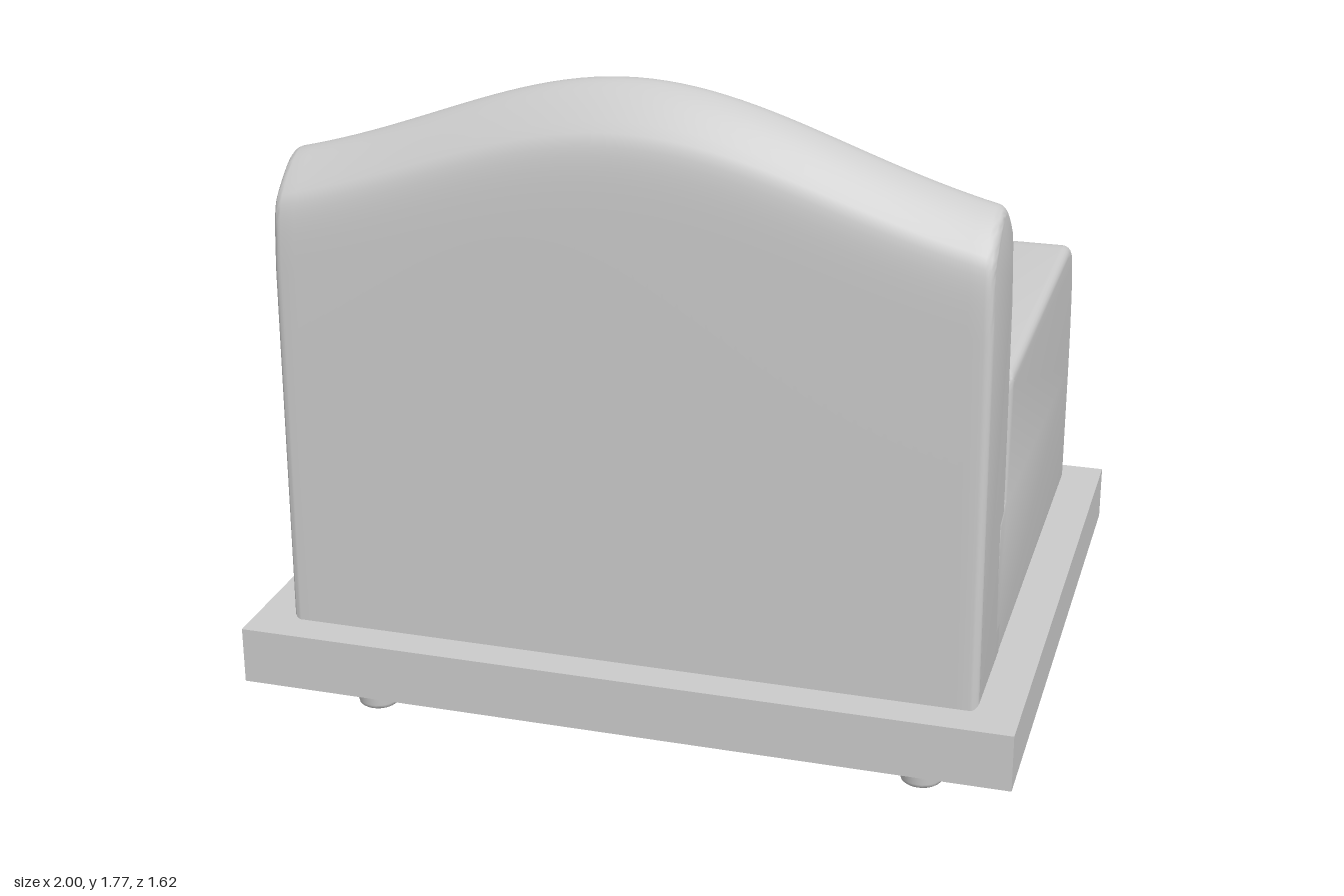
import * as THREE from 'three';
import { toCreasedNormals } from 'three/addons/utils/BufferGeometryUtils.js';

const material = new THREE.MeshStandardMaterial({ color: 0xcccccc });

function addMesh(group, name, geometry, x = 0, y = 0, z = 0) {
  const mesh = new THREE.Mesh(geometry, material);
  mesh.name = name;
  mesh.position.set(x, y, z);
  group.add(mesh);
  return mesh;
}

// Side profile (u = -z, v = y) swept along x to a given width, with soft ends.
function sweep(shape, width, bevel, steps = 1) {
  return new THREE.ExtrudeGeometry(shape, {
    depth: width - 2 * bevel, steps, curveSegments: 8,
    bevelEnabled: true, bevelSize: bevel, bevelThickness: bevel,
    bevelOffset: -bevel, bevelSegments: 5,
  }).translate(0, 0, bevel - width / 2).rotateY(Math.PI / 2);
}

const soften = (geometry) => toCreasedNormals(geometry, 0.65);

// Armrest: rounded front, and a lower part that runs into the backrest
function armShape() {
  const s = new THREE.Shape();
  s.moveTo(-0.5, 0.3);
  s.lineTo(0.715, 0.3);
  s.lineTo(0.718, 0.66);
  s.bezierCurveTo(0.712, 0.84, 0.695, 0.93, 0.672, 0.99);
  s.bezierCurveTo(0.65, 1.045, 0.61, 1.06, 0.55, 1.06);
  s.lineTo(-0.37, 1.06);
  s.quadraticCurveTo(-0.41, 1.06, -0.41, 1.01);
  s.lineTo(-0.415, 0.73);
  s.lineTo(-0.5, 0.7);
  return s;
}

// Seat base under the cushion
function baseShape() {
  const s = new THREE.Shape();
  s.moveTo(-0.5, 0.3);
  s.lineTo(0.713, 0.3);
  s.lineTo(0.713, 0.57);
  s.quadraticCurveTo(0.713, 0.615, 0.66, 0.615);
  s.lineTo(-0.5, 0.615);
  return s;
}

// Cushion: full round nose, small round at the rear
function cushionShape() {
  const s = new THREE.Shape();
  s.moveTo(-0.35, 0.6);
  s.lineTo(0.62, 0.6);
  s.bezierCurveTo(0.695, 0.6, 0.722, 0.65, 0.722, 0.71);
  s.bezierCurveTo(0.722, 0.78, 0.685, 0.825, 0.61, 0.825);
  s.lineTo(-0.35, 0.825);
  s.quadraticCurveTo(-0.4, 0.825, -0.4, 0.77);
  s.lineTo(-0.4, 0.655);
  s.quadraticCurveTo(-0.4, 0.6, -0.35, 0.6);
  return s;
}

// Backrest profile: straight sides, soft shoulders, ridged crown
function backShape() {
  const s = new THREE.Shape();
  s.moveTo(-0.718, 0.3);
  s.lineTo(-0.412, 0.3);
  s.lineTo(-0.414, 1.25);
  s.bezierCurveTo(-0.416, 1.36, -0.418, 1.42, -0.44, 1.445);
  s.bezierCurveTo(-0.49, 1.5, -0.53, 1.53, -0.565, 1.53);
  s.bezierCurveTo(-0.6, 1.53, -0.64, 1.5, -0.69, 1.445);
  s.bezierCurveTo(-0.712, 1.42, -0.714, 1.36, -0.716, 1.25);
  return s;
}

// Backrest with its top edge raised in a hump and the sides drawn in slightly
function backrest() {
  const geometry = sweep(backShape(), 1.796, 0.022, 48);
  const p = geometry.attributes.position;
  for (let i = 0; i < p.count; i++) {
    const x = p.getX(i), y = p.getY(i);
    const top = 1.46 + 0.31 * Math.exp(-((x / 0.73) ** 2));
    const taper = 1 - 0.012 * THREE.MathUtils.smoothstep(y, 0.9, 1.53);
    p.setXYZ(i, x * taper, 0.3 + (y - 0.3) * (top - 0.3) / 1.23, p.getZ(i));
  }
  return soften(geometry);
}

// Concave fillet where the seat base turns up into an armrest
function filletGeometry(side) {
  const r = 0.06, x = side * 0.595, y = 0.61;
  const s = new THREE.Shape();
  s.moveTo(x, y);
  s.lineTo(x, y + r);
  s.quadraticCurveTo(x, y, x - side * r, y);
  return soften(new THREE.ExtrudeGeometry(s, {
    depth: 1.06, bevelEnabled: false, curveSegments: 8,
  }).translate(0, 0, -0.685));
}

export function createModel() {
  const model = new THREE.Group();
  model.name = 'armchair';

  addMesh(model, 'platform', new THREE.BoxGeometry(2, 0.15, 1.62), 0, 0.225, 0);

  // Legs with a slightly eased foot
  const legProfile = [[0, 0], [0.048, 0], [0.053, 0.004], [0.055, 0.012], [0.055, 0.16]]
    .map(([r, y]) => new THREE.Vector2(r, y));
  const leg = toCreasedNormals(new THREE.LatheGeometry(legProfile, 28), 0.8);
  for (const x of [-0.737, 0.737]) {
    for (const z of [-0.58, 0.56]) addMesh(model, 'leg', leg, x, 0, z);
  }

  addMesh(model, 'seatBase', soften(sweep(baseShape(), 1.5, 0.02)));
  addMesh(model, 'seatCushion', soften(sweep(cushionShape(), 1.15, 0.035)));
  addMesh(model, 'backrest', backrest());

  const arm = soften(sweep(armShape(), 0.307, 0.025));
  for (const side of [-1, 1]) {
    addMesh(model, side > 0 ? 'leftArm' : 'rightArm', arm, side * 0.744, 0, 0);
    addMesh(model, 'armFillet', filletGeometry(side));
  }
  return model;
}
